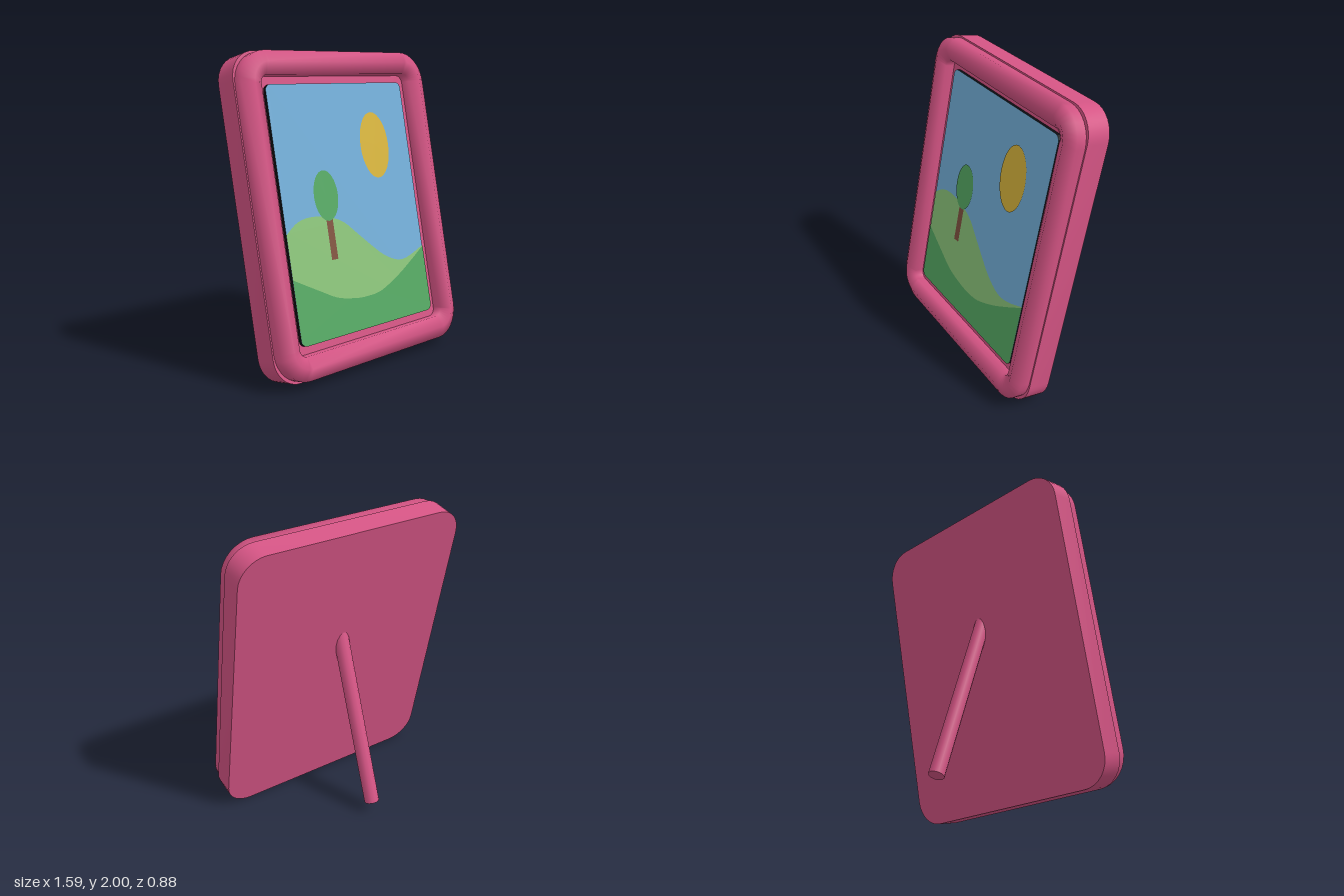
import * as THREE from 'three';
import { toCreasedNormals } from 'three/addons/utils/BufferGeometryUtils.js';

const mat = (name, color) => {
  const m = new THREE.MeshStandardMaterial({ color });
  m.name = name;
  return m;
};

// Counter-clockwise outline of a rounded rectangle
function roundedRect(w, h, r, steps = 8) {
  const pts = [];
  [[1, 1], [-1, 1], [-1, -1], [1, -1]].forEach(([sx, sy], c) => {
    for (let i = 0; i <= steps; i++) {
      const a = (c + i / steps) * Math.PI / 2;
      pts.push(new THREE.Vector2(sx * (w - r) + r * Math.cos(a), sy * (h - r) + r * Math.sin(a)));
    }
  });
  return pts;
}

// Ring swept around a rounded rectangle; profile is [inset, z] from outside to inside
function mouldingGeometry(w, h, r, profile) {
  const pos = [], index = [];
  const n = roundedRect(w, h, r).length, m = profile.length;
  for (const [inset, z] of profile) {
    for (const p of roundedRect(w - inset, h - inset, r - inset)) pos.push(p.x, p.y, z);
  }
  for (let j = 0; j < m - 1; j++) {
    for (let i = 0; i < n; i++) {
      const k = (i + 1) % n;
      const a = j * n + i, b = j * n + k, c = b + n, d = a + n;
      index.push(a, b, c, a, c, d);
    }
  }
  const g = new THREE.BufferGeometry();
  g.setAttribute('position', new THREE.Float32BufferAttribute(pos, 3));
  g.setIndex(index);
  g.computeVertexNormals();
  return g;
}

export function createModel() {
  const pink = mat('pink', 0xd45484);
  const sky = mat('skyBlue', 0x72aed8);
  const dark = mat('darkEdge', 0x0c0c10);
  const yellow = mat('sunYellow', 0xd8b53c);
  const green = mat('green', 0x55a863);
  const lightGreen = mat('lightGreen', 0x8bc47a);
  const brown = mat('trunkBrown', 0x80523f);

  const model = new THREE.Group();
  model.name = 'pictureFrame';

  // Everything but the stand leans back
  const panel = new THREE.Group();
  panel.name = 'leaningPanel';
  panel.rotation.x = -0.209;
  panel.position.z = 0.21;
  model.add(panel);

  const add = (parent, name, geometry, material, y = 0, z = 0, x = 0) => {
    const mesh = new THREE.Mesh(geometry, material);
    mesh.name = name;
    mesh.position.set(x, y, z);
    parent.add(mesh);
    return mesh;
  };
  const mid = 1.006;

  // Back board
  const board = new THREE.ExtrudeGeometry(new THREE.Shape(roundedRect(0.797, mid, 0.18)),
    { depth: 0.152, bevelEnabled: false });
  add(panel, 'backBoard', toCreasedNormals(board, 0.5), pink, mid);

  // Raised front moulding
  add(panel, 'frontMoulding', mouldingGeometry(0.788, 0.996, 0.2,
    [[0, 0.14], [0, 0.215], [0.075, 0.254], [0.148, 0.215], [0.148, 0.14]]), pink, mid);

  // Picture plate with dark sides
  const W = 0.588, H = 0.797, front = 0.176;
  const plate = new THREE.ExtrudeGeometry(new THREE.Shape(roundedRect(W, H, 0.04, 4)),
    { depth: front - 0.145, bevelEnabled: false });
  add(panel, 'picturePlate', plate, [sky, dark], mid, 0.145);

  // Painted hills: crest curve closed along the rounded bottom edge
  const hill = (crest) => {
    const curve = new THREE.SplineCurve(crest.map(p => new THREE.Vector2(...p)));
    const bottom = roundedRect(W, H, 0.04, 4).filter(p => p.y < 0).reverse();
    return new THREE.ShapeGeometry(new THREE.Shape([...curve.getPoints(48), ...bottom]));
  };
  add(panel, 'farHill', hill([[-W, -0.115], [-0.5, -0.055], [-0.4, -0.032], [-0.26, -0.042],
    [-0.12, -0.092], [0, -0.19], [0.1, -0.275], [0.2, -0.352], [0.3, -0.4], [0.38, -0.41],
    [0.47, -0.39], [W, -0.345]]), lightGreen, mid, front + 0.002);
  add(panel, 'nearHill', hill([[-W, -0.388], [-0.4, -0.485], [-0.25, -0.557], [-0.1, -0.588],
    [0, -0.594], [0.13, -0.582], [0.3, -0.513], [0.45, -0.432], [W, -0.35]]),
    green, mid, front + 0.004);

  // Painted tree and sun
  add(panel, 'treeTrunk', new THREE.PlaneGeometry(0.053, 0.3), brown, mid - 0.167, front + 0.004, -0.232);
  const disc = (name, rx, ry, material, x, y) =>
    add(panel, name, new THREE.CircleGeometry(1, 32), material, mid + y, front + 0.006, x).scale.set(rx, ry, 1);
  disc('treeCrown', 0.1, 0.16, green, -0.235, 0.088);
  disc('sun', 0.13, 0.22, yellow, 0.255, 0.378);

  // Rear stand
  const foot = new THREE.Vector3(0, 0.085, -0.392), top = new THREE.Vector3(0, 1.235, -0.003);
  const dir = top.clone().sub(foot);
  const stand = add(model, 'rearStand', new THREE.CylinderGeometry(0.05, 0.05, dir.length(), 12), pink);
  stand.position.copy(foot).add(top).multiplyScalar(0.5);
  stand.quaternion.setFromUnitVectors(new THREE.Vector3(0, 1, 0), dir.normalize());

  return model;
}
